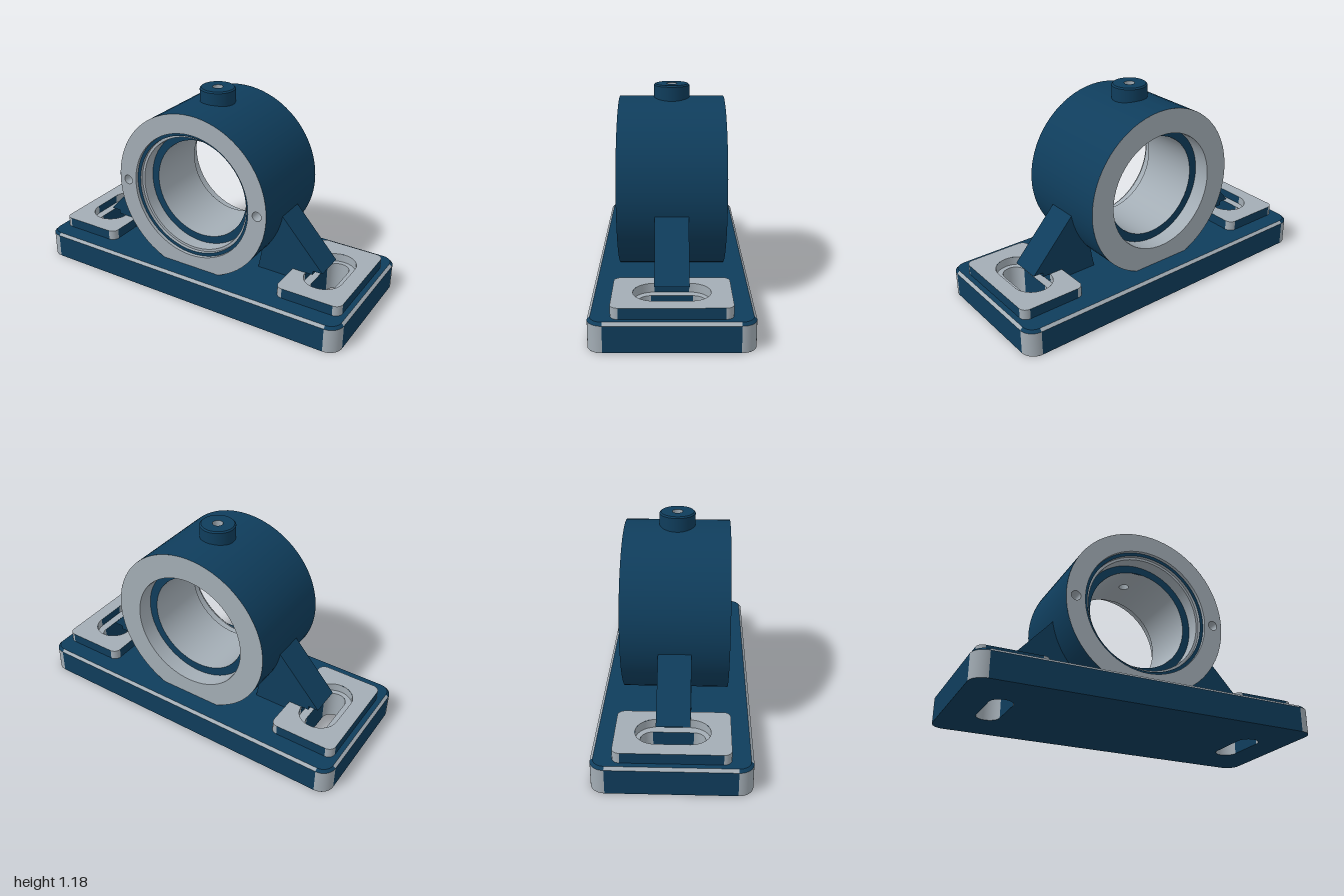
import * as THREE from 'three';

const side = THREE.DoubleSide;
const navy = new THREE.MeshStandardMaterial({ name: 'navyPaint', color: 0x0f3d5c, side });
const grey = new THREE.MeshStandardMaterial({ name: 'machinedGrey', color: 0xa3adb5, side });
const AXIS_Y = 0.615; // height of the bore axis
const SEG = 72;

function add(parent, name, geometry, material) {
  const mesh = new THREE.Mesh(geometry, material);
  mesh.name = name;
  parent.add(mesh);
  return mesh;
}

function group(parent, name) {
  const g = new THREE.Group();
  g.name = name;
  parent.add(g);
  return g;
}

// rounded rectangle in plan; radius = half the width gives a slot
function roundRect(w, d, r, cx = 0) {
  const s = new THREE.Shape();
  const x = w / 2 - r, z = d / 2 - r;
  s.absarc(cx + x, z, r, 0, Math.PI / 2);
  s.absarc(cx - x, z, r, Math.PI / 2, Math.PI);
  s.absarc(cx - x, -z, r, Math.PI, Math.PI * 1.5);
  s.absarc(cx + x, -z, r, Math.PI * 1.5, Math.PI * 2);
  s.closePath();
  return s;
}

// horizontal plate face with holes
function face(parent, name, shape, holes, y, material, down = false) {
  shape.holes = holes;
  const g = new THREE.ShapeGeometry(shape, 12).rotateX(down ? Math.PI / 2 : -Math.PI / 2);
  add(parent, name, g.translate(0, y, 0), material);
}

// rounded-rectangle wall: four straight panels and four corner arcs, inset by c at the top
function wall(parent, name, w, d, r, y0, y1, straight, arc, cx = 0, c = 0) {
  const x = w / 2 - r, z = d / 2 - r, h = y1 - y0;
  const g = group(parent, name);
  [[1, 1], [1, -1], [-1, -1], [-1, 1]].forEach(([sx, sz], i) => {
    const corner = new THREE.CylinderGeometry(r - c, r, h, 10, 1, true, i * Math.PI / 2, Math.PI / 2);
    add(g, name + 'Corner', corner.translate(cx + sx * x, (y0 + y1) / 2, sz * z), arc);
  });
  for (let i = 0; i < 4; i++) {
    const half = i % 2 ? z : x, out = (i % 2 ? x : z) + r;
    if (half < 0.001) continue;
    const panel = new THREE.BufferGeometry();
    panel.setAttribute('position', new THREE.Float32BufferAttribute([
      -half, y0, out, half, y0, out, half, y1, out - c, -half, y1, out - c], 3));
    panel.setIndex([0, 1, 2, 0, 2, 3]);
    panel.computeVertexNormals();
    add(g, name + 'Side', panel.rotateY(i * Math.PI / 2).translate(cx, 0, 0), straight);
  }
}

// open cylinder along z
function tube(parent, name, r, z0, z1, material, gap = 0, x = 0) {
  const g = new THREE.CylinderGeometry(r, r, z1 - z0, SEG, 1, true, Math.PI + gap, 2 * (Math.PI - gap));
  add(parent, name, g.rotateX(Math.PI / 2).translate(x, AXIS_Y, (z0 + z1) / 2), material);
}

// flat ring facing front (or back)
function annulus(parent, name, ri, ro, z, material, back = false) {
  const g = new THREE.RingGeometry(ri, ro, SEG);
  if (back) g.rotateY(Math.PI);
  add(parent, name, g.translate(0, AXIS_Y, z), material);
}

function circlePath(x, y, r) {
  return new THREE.Path().absarc(x, y, r, 0, Math.PI * 2);
}

// curved strip closing the gap at the top of a tube, pierced by the oil hole
function topPatch(parent, name, r, gap, z0, z1, material, outward) {
  const u = gap * r;
  const s = new THREE.Shape([[-u, z0], [u, z0], [u, z1], [-u, z1]].map(p => new THREE.Vector2(...p)));
  s.holes.push(circlePath(0, 0, 0.03));
  const g = new THREE.ShapeGeometry(s, 8), p = g.attributes.position;
  const dir = outward ? -1 : 1;
  for (let i = 0; i < p.count; i++) {
    const a = dir * p.getX(i) / r, z = p.getY(i);
    p.setXYZ(i, r * Math.sin(a), AXIS_Y + r * Math.cos(a), z);
  }
  g.computeVertexNormals();
  add(parent, name, g, material);
}

export function createModel() {
  const model = new THREE.Group();
  model.name = 'pillowBlockHousing';
  const W = 2, D = 0.85, R = 0.08, C = 0.015, TOP = 0.16;
  const slotX = 0.757;
  const slot = cx => roundRect(0.13, 0.35, 0.065, cx);
  const slots = () => [slot(slotX), slot(-slotX)];

  // base plate with bevelled top edge
  const base = group(model, 'basePlate');
  wall(base, 'baseWall', W, D, R, 0, TOP - C, navy, grey);
  wall(base, 'baseBevel', W, D, R, TOP - C, TOP, grey, navy, 0, C);
  face(base, 'baseTop', roundRect(W - 2 * C, D - 2 * C, R - C), slots(), TOP, navy);
  face(base, 'baseBottom', roundRect(W, D, R), slots(), 0, navy, true);

  for (const s of [1, -1]) {
    const x = s * slotX, padX = s * 0.76;
    // mounting pad with a counterbored slot
    const pad = group(model, s > 0 ? 'leftPad' : 'rightPad');
    wall(pad, 'padWall', 0.39, 0.62, 0.042, TOP, 0.22, navy, grey, padX);
    face(pad, 'padTop', roundRect(0.39, 0.62, 0.042, padX), [roundRect(0.225, 0.405, 0.1125, x)], 0.22, grey);
    wall(pad, 'counterbore', 0.225, 0.405, 0.1125, 0.17, 0.22, navy, grey, x);
    face(pad, 'counterboreFloor', roundRect(0.225, 0.405, 0.1125, x), [slot(x)], 0.17, grey);
    wall(pad, 'boltSlot', 0.13, 0.35, 0.065, 0, 0.17, navy, grey, x);

    // gusset, notched above the slot
    const outline = [[0.34, 0.16], [0.645, 0.16], [0.645, 0.22], [0.69, 0.22], [0.69, 0.245],
      [0.75, 0.245], [0.47, 0.553], [0.40, 0.50]];
    const shape = new THREE.Shape(outline.map(([px, py]) => new THREE.Vector2(s * px, py)));
    const gusset = new THREE.ExtrudeGeometry(shape, { depth: 0.184, bevelEnabled: false });
    add(model, s > 0 ? 'leftGusset' : 'rightGusset', gusset.translate(0, 0, -0.092), navy);
  }

  // bearing barrel
  const barrel = group(model, 'barrel');
  const RO = 0.493, Z = 0.3;
  tube(barrel, 'barrelShell', RO, -Z, Z, navy, 0.08);
  topPatch(barrel, 'barrelShellTop', RO, 0.08, -Z, Z, navy, true);
  const front = new THREE.Shape().absarc(0, 0, RO, 0, Math.PI * 2);
  front.holes = [circlePath(0, 0, 0.38), circlePath(0.435, 0, 0.028), circlePath(-0.435, 0, 0.028)];
  add(barrel, 'frontFace', new THREE.ShapeGeometry(front, 36).translate(0, AXIS_Y, Z), grey);
  annulus(barrel, 'backFace', 0.35, RO, -Z, grey, true);

  // stepped bore, front to back
  tube(barrel, 'sealRecess', 0.38, 0.28, Z, grey);
  annulus(barrel, 'sealStep', 0.36, 0.38, 0.28, navy);
  tube(barrel, 'ringGroove', 0.36, 0.26, 0.28, grey);
  annulus(barrel, 'ringSeat', 0.345, 0.36, 0.26, grey);
  tube(barrel, 'frontSeat', 0.345, 0.18, 0.26, grey);
  annulus(barrel, 'frontShoulder', 0.30, 0.345, 0.18, navy);
  tube(barrel, 'bore', 0.30, -0.2, 0.18, grey, 0.13);
  topPatch(barrel, 'boreTop', 0.30, 0.13, -0.2, 0.18, grey, false);
  annulus(barrel, 'backShoulder', 0.30, 0.35, -0.2, navy, true);
  tube(barrel, 'backSeat', 0.35, -Z, -0.2, grey);

  // blind screw holes in the front face
  for (const s of [1, -1]) {
    tube(barrel, 'screwHole', 0.028, 0.2, Z, grey, 0, s * 0.435);
    const floor = new THREE.CircleGeometry(0.028, 24).translate(s * 0.435, AXIS_Y, 0.2);
    add(barrel, 'screwHoleFloor', floor, s > 0 ? navy : grey);
  }

  // oil boss with a hole down to the bore
  const boss = group(model, 'oilBoss');
  const ring = (name, rt, rb, y0, y1, mat) =>
    add(boss, name, new THREE.CylinderGeometry(rt, rb, y1 - y0, 40, 1, true).translate(0, (y0 + y1) / 2, 0), mat);
  ring('bossWall', 0.102, 0.102, 1.08, 1.177, navy);
  ring('bossBevel', 0.094, 0.102, 1.177, 1.185, navy);
  ring('oilHole', 0.03, 0.03, 0.914, 1.185, grey);
  add(boss, 'bossTop', new THREE.RingGeometry(0.03, 0.094, 40).rotateX(-Math.PI / 2).translate(0, 1.185, 0), navy);

  return model;
}
